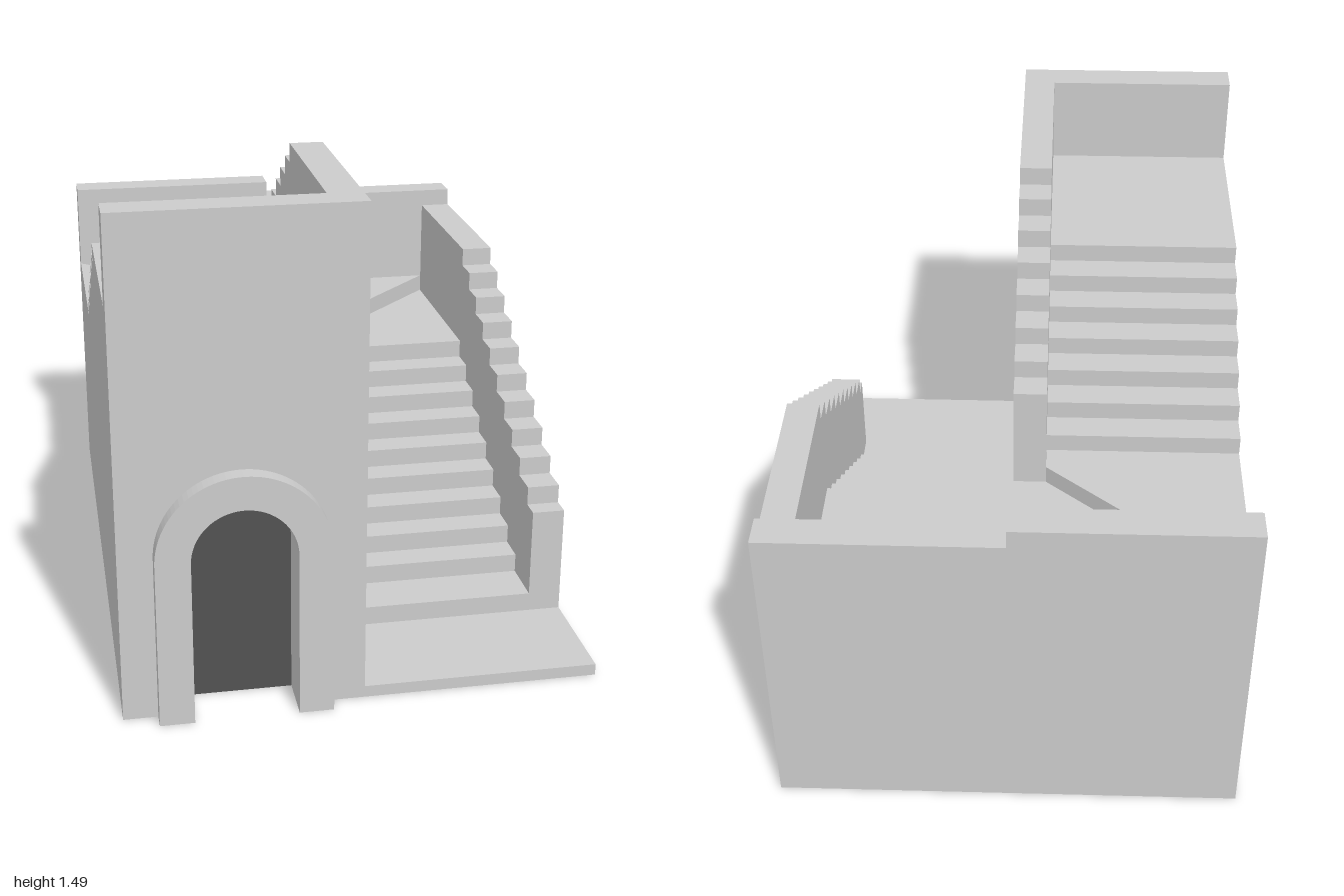
import * as THREE from 'three';

const RISE = 0.0585, FLOOR = 0.035, PARAPET = 0.28;
const level = (k) => FLOOR + RISE * k; // height of the k-th tread

export function createModel() {
  const group = new THREE.Group();
  const grey = new THREE.MeshStandardMaterial({ color: 0xcccccc });
  const dark = new THREE.MeshStandardMaterial({ color: 0x525252 });

  const add = (name, geometry, material = grey) => {
    const mesh = new THREE.Mesh(geometry, material);
    mesh.name = name;
    group.add(mesh);
  };
  const toShape = (pts) => new THREE.Shape(pts.map(([a, b]) => new THREE.Vector2(a, b)));
  const extrude = (shape, depth) =>
    new THREE.ExtrudeGeometry(shape, { depth, bevelEnabled: false, curveSegments: 24 });

  const box = (name, x0, x1, y0, y1, z0, z1, material) =>
    add(name, new THREE.BoxGeometry(x1 - x0, y1 - y0, z1 - z0)
      .translate((x0 + x1) / 2, (y0 + y1) / 2, (z0 + z1) / 2), material);

  // Solid with a (z, y) side profile, spanning x0..x1
  const sideSolid = (name, pts, x0, x1) =>
    add(name, extrude(toShape(pts), x1 - x0).rotateY(-Math.PI / 2).translate(x1, 0, 0));

  // Solid with an (x, z) plan, standing on the ground
  const planSolid = (name, pts, height) =>
    add(name, extrude(toShape(pts.map(([x, z]) => [x, -z])), height).rotateX(-Math.PI / 2));

  // Stepped profile: each entry [z, y] is where a new height starts
  const stepped = (steps, zEnd) => {
    const pts = [[steps[0][0], 0]];
    steps.forEach(([z, y], i) => {
      pts.push([z, y], [i + 1 < steps.length ? steps[i + 1][0] : zEnd, y]);
    });
    pts.push([zEnd, 0]);
    return pts;
  };

  // Lower flight and its stepped parapet, climbing to the back
  const lowPitch = 0.0933, highPitch = 0.0917;
  const lower = [[0.6, level(1)]], lowerWall = [[0.6, level(1) + PARAPET]];
  for (let k = 2; k <= 9; k++) lower.push([-0.3 + lowPitch * (10 - k), level(k)]);
  for (let k = 2; k <= 11; k++) lowerWall.push([-0.3 + lowPitch * (11 - k), level(k) + PARAPET]);
  sideSolid('lowerFlight', stepped(lower, -0.3), 0, 0.6);
  sideSolid('lowerParapet', stepped(lowerWall, -0.9), 0.6, 0.7);
  box('entryFloor', 0, 0.7, 0, FLOOR, 0.6, 0.95);

  // Winder steps turning the two corners
  planSolid('winderStep1', [[0, -0.3], [0.6, -0.3], [0.6, -0.9]], level(10));
  planSolid('winderStep2', [[0, -0.3], [0.6, -0.9], [0, -0.9]], level(11));
  planSolid('winderStep3', [[-0.1, -0.385], [0, -0.385], [0, -0.9], [-0.7, -0.9]], level(12));
  planSolid('winderStep4', [[-0.1, -0.385], [-0.7, -0.9], [-0.7, -0.3], [-0.1, -0.3]], level(13));

  // Upper flight with top landing, and the stepped wall between the flights
  const upper = [], middleWall = [[-0.385, level(13) + PARAPET]];
  for (let k = 14; k <= 20; k++) {
    const z = -0.3 + highPitch * (k - 14);
    upper.push([z, level(k)]);
    middleWall.push([z, level(k) + PARAPET]);
  }
  sideSolid('upperFlight', stepped(upper, 0.85), -0.7, -0.1);
  sideSolid('middleWall', stepped(middleWall, 0.85), -0.1, 0);

  // Back walls
  box('backWallRight', 0, 0.7, 0, level(12) + PARAPET, -1, -0.9);
  box('backWallLeft', -0.7, 0, 0, level(13) + PARAPET, -1, -0.9);

  // Front wall with an arched doorway
  const cx = -0.35, spring = 0.5;
  const cutDoor = (shape) => {
    shape.lineTo(cx - 0.15, 0);
    shape.lineTo(cx - 0.15, spring);
    shape.absarc(cx, spring, 0.15, Math.PI, 0, true);
    shape.lineTo(cx + 0.15, 0);
    return shape;
  };
  const top = level(20) + PARAPET;
  const wall = new THREE.Shape().moveTo(-0.7, 0);
  cutDoor(wall).lineTo(0, 0).lineTo(0, top).lineTo(-0.7, top).closePath();
  add('frontWall', extrude(wall, 0.1).translate(0, 0, 0.85));

  // Arch surround
  const frame = new THREE.Shape().moveTo(cx - 0.25, 0);
  cutDoor(frame).lineTo(cx + 0.25, 0).lineTo(cx + 0.25, spring);
  frame.absarc(cx, spring, 0.25, 0, Math.PI, false);
  frame.closePath();
  add('doorSurround', extrude(frame, 0.05).translate(0, 0, 0.95));

  // Dark panel at the back of the doorway
  box('doorPanel', cx - 0.15, cx + 0.15, 0, 0.66, 0.842, 0.852, dark);

  return group;
}
